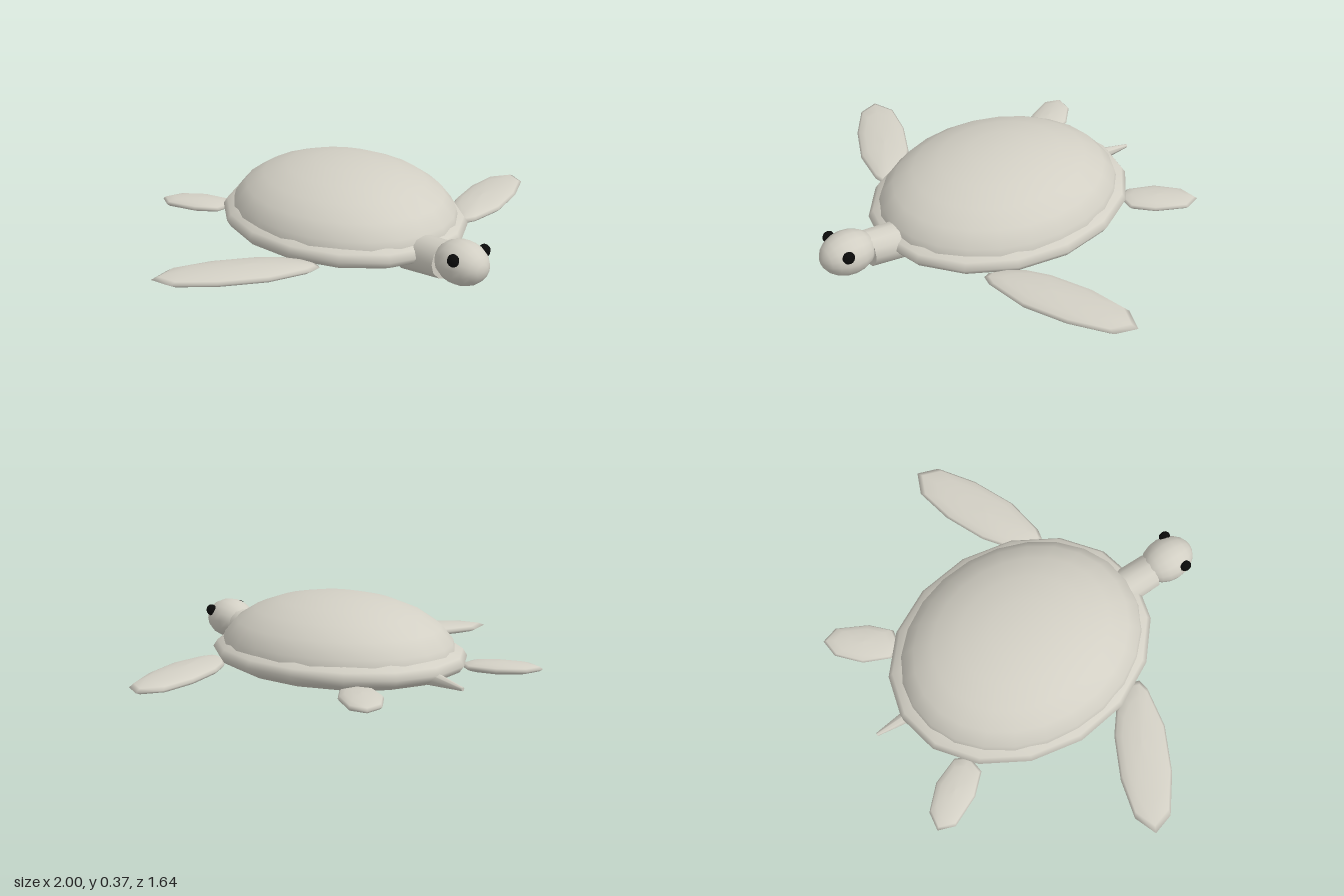
import * as THREE from 'three';

const skin = new THREE.MeshStandardMaterial({ color: 0xd2cfc4 });
skin.name = 'pale grey';
const black = new THREE.MeshStandardMaterial({ color: 0x0a0a0a });
black.name = 'eye black';

function add(group, name, geometry, material, x = 0, y = 0, z = 0) {
  const mesh = new THREE.Mesh(geometry, material);
  mesh.name = name;
  mesh.position.set(x, y, z);
  group.add(mesh);
  return mesh;
}

// Lens-shaped paddle: the outline shrinks towards its centre above and below.
function paddle(outline, thickness, side) {
  const pts = outline.map(([x, z]) => [x * side, z]);
  if (side < 0) pts.reverse();
  const n = pts.length, rings = 8;
  const cx = pts.reduce((s, p) => s + p[0], 0) / n;
  const cz = pts.reduce((s, p) => s + p[1], 0) / n;
  const pos = [], idx = [];
  for (let k = 0; k <= rings; k++) {
    const a = Math.PI * k / rings, r = Math.sin(a);
    for (let i = 0; i < n; i++) {
      pos.push(cx + (pts[i][0] - cx) * r, Math.cos(a) * thickness, cz + (pts[i][1] - cz) * r);
      if (k === rings) continue;
      const j = (i + 1) % n, A = k * n, B = A + n;
      if (k < rings - 1) idx.push(A + i, B + i, B + j);
      else idx.push(A + i, B + i, A + j);
      if (k > 0 && k < rings - 1) idx.push(A + i, B + j, A + j);
    }
  }
  const g = new THREE.BufferGeometry();
  g.setAttribute('position', new THREE.Float32BufferAttribute(pos, 3));
  g.setIndex(idx);
  g.computeVertexNormals();
  return g;
}

// Outlines as [x, z], counter-clockwise from above
const frontOutline = [
  [1, -0.035], [0.9, -0.075], [0.73, -0.035], [0.55, 0.05], [0.46, 0.12], [0.41, 0.19],
  [0.39, 0.25], [0.4, 0.28], [0.45, 0.29], [0.63, 0.26], [0.82, 0.17], [0.97, 0.06],
];
const rearOutline = [
  [0.5, -0.81], [0.415, -0.8], [0.32, -0.71], [0.27, -0.59],
  [0.3, -0.53], [0.38, -0.52], [0.46, -0.6], [0.525, -0.735],
];

export function createModel() {
  const turtle = new THREE.Group();
  turtle.name = 'turtle';

  // Flat body whose edge forms the rim, and the dome above it
  add(turtle, 'body', new THREE.SphereGeometry(1, 16, 12).scale(0.5, 0.11, 0.61), skin, 0, 0.115, -0.085);
  add(turtle, 'shell',
    new THREE.SphereGeometry(1, 24, 6, 0, Math.PI * 2, 0, Math.PI / 2).scale(0.465, 0.25, 0.565),
    skin, 0, 0.12, -0.08);

  // Neck: a cylinder along z that sinks towards the body
  const neck = new THREE.CylinderGeometry(0.08, 0.085, 0.23, 12).rotateX(Math.PI / 2);
  const p = neck.attributes.position;
  for (let i = 0; i < p.count; i++) p.setY(i, p.getY(i) + p.getZ(i) * 0.13);
  neck.computeVertexNormals();
  add(turtle, 'neck', neck, skin, 0, 0.105, 0.485);

  // Head with its pole pointing forward
  add(turtle, 'head',
    new THREE.SphereGeometry(1, 16, 10).rotateX(Math.PI / 2).scale(0.1, 0.092, 0.124),
    skin, 0, 0.143, 0.691);

  // Tail, dropping slightly to a blunt tip
  const tail = add(turtle, 'tail', new THREE.CylinderGeometry(0.008, 0.037, 0.21, 8), skin, 0, 0.092, -0.715);
  tail.rotation.x = -Math.PI / 2 - 0.08;

  for (const side of [1, -1]) {
    const label = side > 0 ? 'left' : 'right';
    add(turtle, label + 'FrontFlipper', paddle(frontOutline, 0.03, side), skin, 0, 0.085, 0);
    add(turtle, label + 'RearFlipper', paddle(rearOutline, 0.026, side), skin, 0, 0.083, 0);
    add(turtle, label + 'Eye', new THREE.SphereGeometry(0.027, 10, 8).scale(0.85, 1, 1),
      black, side * 0.084, 0.185, 0.73);
  }
  return turtle;
}
